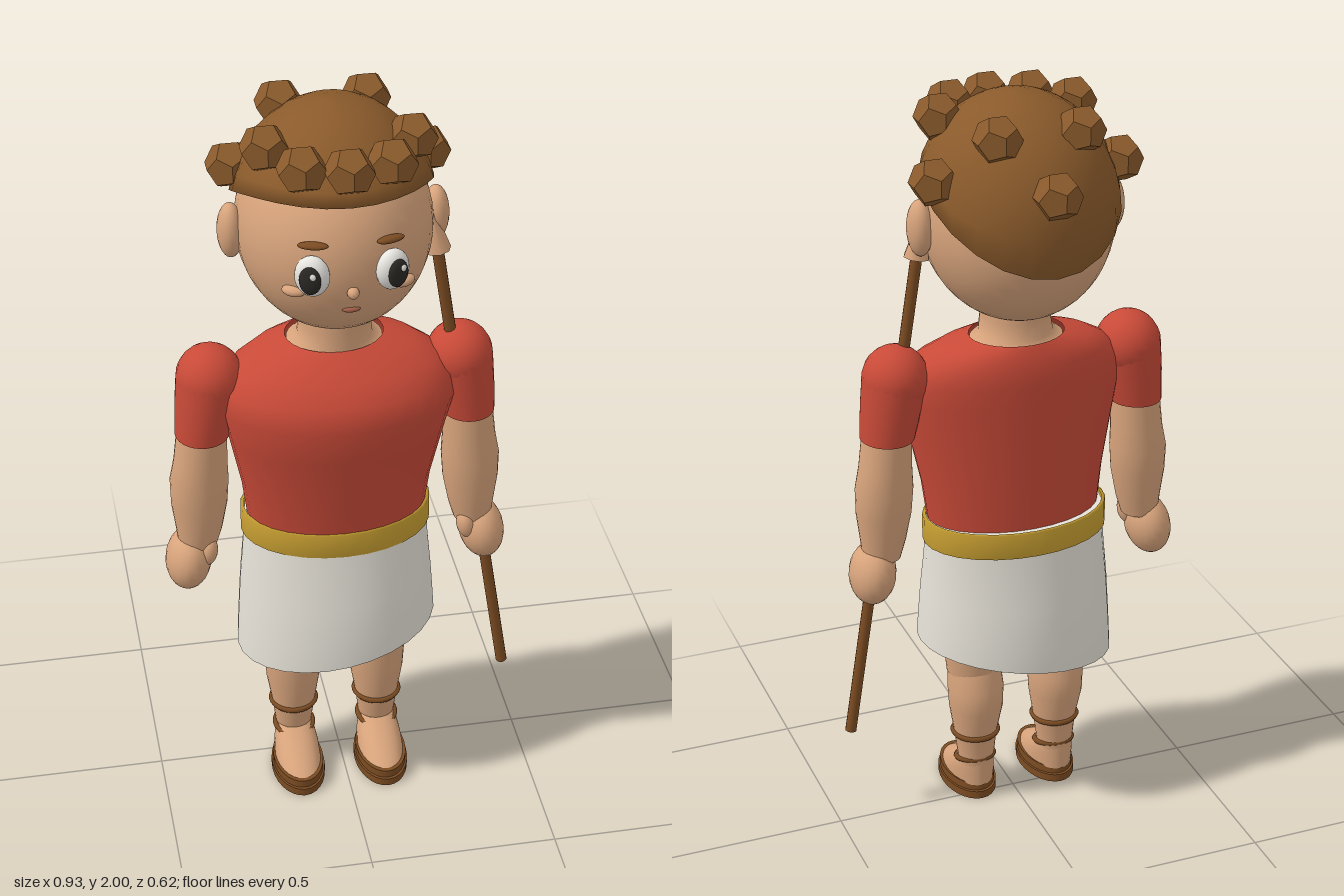
import * as THREE from 'three';

const mat = (name, color, extra = {}) => {
  const m = new THREE.MeshStandardMaterial({ color, ...extra });
  m.name = name;
  return m;
};

export function createModel() {
  const skin = mat('skin', 0xd8a47c);
  const red = mat('red cloth', 0xc94a38, { side: THREE.DoubleSide });
  const linen = mat('white linen', 0xe6e2d8, { side: THREE.DoubleSide });
  const gold = mat('gold', 0xc9a032, { side: THREE.DoubleSide });
  const hairMat = mat('hair brown', 0x8a5a2b, { side: THREE.DoubleSide });
  const curlMat = mat('curl brown', 0x8a5a2b, { flatShading: true });
  const leather = mat('leather', 0x7c4c22);
  const lip = mat('lip', 0xa5624a);
  const white = mat('eye white', 0xf4f2ec);
  const dark = mat('eye dark', 0x2b2824);

  const root = new THREE.Group();
  const body = new THREE.Group();
  body.name = 'figure';
  body.position.x = -0.013;
  root.add(body);

  const add = (name, geo, material, pos = [0, 0, 0], parent = body) => {
    const mesh = new THREE.Mesh(geo, material);
    mesh.name = name;
    mesh.position.set(...pos);
    parent.add(mesh);
    return mesh;
  };
  const blob = (name, material, pos, radii, parent = body, seg = 20) => {
    const mesh = add(name, new THREE.SphereGeometry(1, seg, Math.round(seg * 0.7)), material, pos, parent);
    mesh.scale.set(...radii);
    return mesh;
  };

  // Closed rows of points, ordered bottom to top, joined into a smooth skin
  const surface = (rows, caps = '') => {
    const n = rows[0].length, pos = [], idx = [];
    rows.forEach((row) => row.forEach((p) => pos.push(...p)));
    for (let i = 0; i < rows.length - 1; i++) {
      for (let j = 0; j < n; j++) {
        const a = i * n + j, b = i * n + (j + 1) % n;
        idx.push(a, b, b + n, a, b + n, a + n);
      }
    }
    const cap = (row, up) => {
      const start = pos.length / 3, mid = [0, 1, 2].map((k) => row.reduce((s, p) => s + p[k], 0) / n);
      pos.push(...mid);
      row.forEach((p) => pos.push(...p));
      for (let j = 0; j < n; j++) {
        const a = start + 1 + j, b = start + 1 + (j + 1) % n;
        idx.push(start, up ? a : b, up ? b : a);
      }
    };
    if (caps.includes('b')) cap(rows[0], false);
    if (caps.includes('t')) cap(rows[rows.length - 1], true);
    const g = new THREE.BufferGeometry();
    g.setAttribute('position', new THREE.Float32BufferAttribute(pos, 3));
    g.setIndex(idx);
    g.computeVertexNormals();
    return g;
  };
  // Elliptical sections: [y, rx, rz, centre x, centre z, sideways slope]
  const loft = (rings, caps = '', seg = 28) => surface(rings.map(([y, rx, rz, cx = 0, cz = 0, slope = 0]) =>
    Array.from({ length: seg }, (_, j) => {
      const a = j / seg * Math.PI * 2, x = rx * Math.sin(a);
      return [cx + x, y + slope * x, cz + rz * Math.cos(a)];
    })), caps);

  // Tunic, neck, belt and slanted kilt
  add('tunic', loft([
    [0.83, 0.232, 0.15, 0, 0.035], [0.95, 0.247, 0.157, 0, 0.04], [1.1, 0.278, 0.172, 0, 0.052],
    [1.2, 0.3, 0.181, 0, 0.06], [1.26, 0.296, 0.172, 0, 0.05], [1.305, 0.265, 0.15, 0, 0.032],
    [1.34, 0.205, 0.125, 0, 0.018], [1.362, 0.125, 0.104, 0, 0.008],
  ]), red);
  add('neck', loft([[1.352, 0.122, 0.101, 0, 0.01], [1.366, 0.096, 0.094, 0, 0.015],
    [1.41, 0.09, 0.09, 0, 0.018], [1.47, 0.09, 0.09, 0, 0.018]]), skin);
  add('belt', loft([[0.788, 0.24, 0.16, 0, 0.023], [0.79, 0.25, 0.173, 0, 0.023],
    [0.858, 0.25, 0.173, 0, 0.023], [0.859, 0.241, 0.163, 0, 0.023]]), gold);
  add('kilt', loft([
    [0.458, 0.267, 0.215, 0, 0.025, 0.16], [0.53, 0.263, 0.211, 0, 0.025, 0.11],
    [0.64, 0.256, 0.197, 0, 0.025, 0.04], [0.74, 0.247, 0.176, 0, 0.025], [0.852, 0.24, 0.162, 0, 0.023],
  ], 't'), linen);

  for (const s of [-1, 1]) {
    const side = s > 0 ? 'left' : 'right';

    // Arm: puffed sleeve, bare arm, fist and thumb
    blob(side + 'Shoulder', red, [s * 0.32, 1.273, 0.028], [0.086, 0.088, 0.088]);
    add(side + 'Sleeve', loft([[1.112, 0.07, 0.078, s * 0.344, 0.032], [1.2, 0.079, 0.084, s * 0.332, 0.03],
      [1.28, 0.084, 0.087, s * 0.321, 0.028]], 'b'), red);
    add(side + 'Arm', loft([
      [0.77, 0.05, 0.05, s * 0.366, 0.035], [0.82, 0.06, 0.058, s * 0.361, 0.035],
      [0.9, 0.073, 0.068, s * 0.358, 0.033], [0.97, 0.076, 0.073, s * 0.356, 0.031],
      [1.03, 0.069, 0.07, s * 0.351, 0.032], [1.13, 0.064, 0.07, s * 0.344, 0.032],
    ], 'b'), skin);
    const hand = blob(side + 'Hand', skin, [s * 0.392, 0.725, 0.036], [0.06, 0.085, 0.08]);
    hand.rotation.z = s * 0.15;
    const thumb = blob(side + 'Thumb', skin, [s * 0.343, 0.762, 0.066], [0.025, 0.042, 0.03]);
    thumb.rotation.z = s * 0.15;

    // Leg and sandal
    const x = s * 0.116;
    add(side + 'Thigh', loft([[0.385, 0.074, 0.07, x, 0.026], [0.46, 0.082, 0.077, x, 0.025],
      [0.6, 0.092, 0.088, x, 0.025], [0.78, 0.096, 0.09, x, 0.025]], 'b'), skin);
    add(side + 'Calf', loft([
      [0.1, 0.047, 0.045, x, 0.013], [0.19, 0.058, 0.057, x, 0.018], [0.28, 0.073, 0.076, x, 0.012],
      [0.34, 0.076, 0.077, x, 0.014], [0.4, 0.071, 0.069, x, 0.025],
    ], 't'), skin);
    add(side + 'Foot', loft([
      [0.04, 0.062, 0.115, x, 0.083], [0.07, 0.06, 0.092, x, 0.06],
      [0.098, 0.054, 0.067, x, 0.034], [0.12, 0.047, 0.048, x, 0.016],
    ], 't'), skin);
    for (const [name, y, r, h] of [['Sole', 0.011, 1, 0.022], ['Insole', 0.034, 0.94, 0.022]]) {
      const sole = add(side + name, new THREE.CylinderGeometry(1, 1, h, 28), leather, [x, y, 0.087]);
      sole.scale.set(0.072 * r, 1, 0.123 * r);
    }
    const strap = (name, y, z, r, tilt) => {
      const t = add(side + name, new THREE.TorusGeometry(r, 0.008, 6, 24), leather, [x, y, z]);
      t.rotation.x = Math.PI / 2 + tilt;
    };
    strap('CalfStrap', 0.195, 0.018, 0.06, 0);
    strap('AnkleStrap', 0.112, 0.022, 0.051, 0.22);

    // Ear and face details
    blob(side + 'Ear', skin, [s * 0.255, 1.675, 0.006], [0.033, 0.073, 0.043]);
    blob(side + 'Cheek', skin, [s * 0.135, 1.615, 0.217], [0.03, 0.014, 0.018]).rotation.y = s * 0.55;
    const brow = blob(side + 'Brow', leather, [s * 0.093, 1.751, 0.25], [0.038, 0.009, 0.014]);
    brow.rotation.set(0, s * 0.38, s * -0.05);
    const eye = new THREE.Group();
    eye.name = side + 'Eye';
    eye.position.set(s * 0.093, 1.675, 0.25);
    eye.rotation.y = s * 0.38;
    body.add(eye);
    blob('eyeball', white, [0, 0, 0.01], [0.043, 0.053, 0.03], eye);
    blob('iris', dark, [0, 0, 0.034], [0.027, 0.037, 0.012], eye);
    blob('glint', white, [0.009, 0.016, 0.044], [0.008, 0.009, 0.004], eye, 10);
  }

  // Head, nose and mouth
  blob('head', skin, [0, 1.68, 0.006], [0.243, 0.27, 0.266], body, 36);
  blob('nose', skin, [0, 1.625, 0.27], [0.015, 0.015, 0.018], body, 12);
  blob('mouth', lip, [0, 1.566, 0.245], [0.023, 0.008, 0.01], body, 12);

  // Hair cap, cut along a hairline that drops toward the back
  const hairline = (z) => 1.778 + 0.445 * z - 0.79 * z * z;
  const seg = 24, steps = 9, cy = 1.705;
  const height = (c) => cy + c * (c > 0 ? 0.293 : 0.5);
  const rows = Array.from({ length: steps + 2 }, () => []);
  for (let j = 0; j < seg; j++) {
    const a = j / seg * Math.PI * 2;
    let k = 1, edge = 0;
    for (let i = 0; i < 15; i++) {
      const d = hairline(0.003 + 0.275 * k * Math.cos(a)) - cy;
      edge = Math.acos(d / (d > 0 ? 0.293 : 0.5));
      k = Math.sin(edge);
    }
    const point = (theta, scale = 1) => [0.257 * scale * Math.sin(theta) * Math.sin(a),
      height(Math.cos(theta)), 0.003 + 0.275 * scale * Math.sin(theta) * Math.cos(a)];
    rows[0].push(point(edge, 0.88));
    for (let i = 0; i <= steps; i++) rows[i + 1].push(point(edge * (1 - i / steps * 0.999)));
  }
  add('hair', surface(rows), hairMat);

  // Curls: [x, y, z], mirrored when off the centre line
  const curls = [[0, 1.922, 0.22], [0.108, 1.922, 0.19], [0.178, 1.928, 0.08],
    [0.108, 1.93, -0.145], [0.243, 1.815, -0.065], [0, 1.813, -0.262]];
  for (const [x, y, z] of curls) {
    for (const s of x ? [-1, 1] : [1]) add('curl', new THREE.DodecahedronGeometry(0.062), curlMat, [s * x, y, z]);
  }

  // Spear leaning along the left arm
  const spear = new THREE.Group();
  spear.name = 'spear';
  spear.position.set(0.359, 0.93, 0.036);
  spear.rotation.z = 0.157;
  body.add(spear);
  add('shaft', new THREE.CylinderGeometry(0.015, 0.015, 1.36, 12), leather, [0, 0, 0], spear);
  add('tip', new THREE.ConeGeometry(0.034, 0.14, 8), skin, [0, 0.735, 0], spear);

  return root;
}
